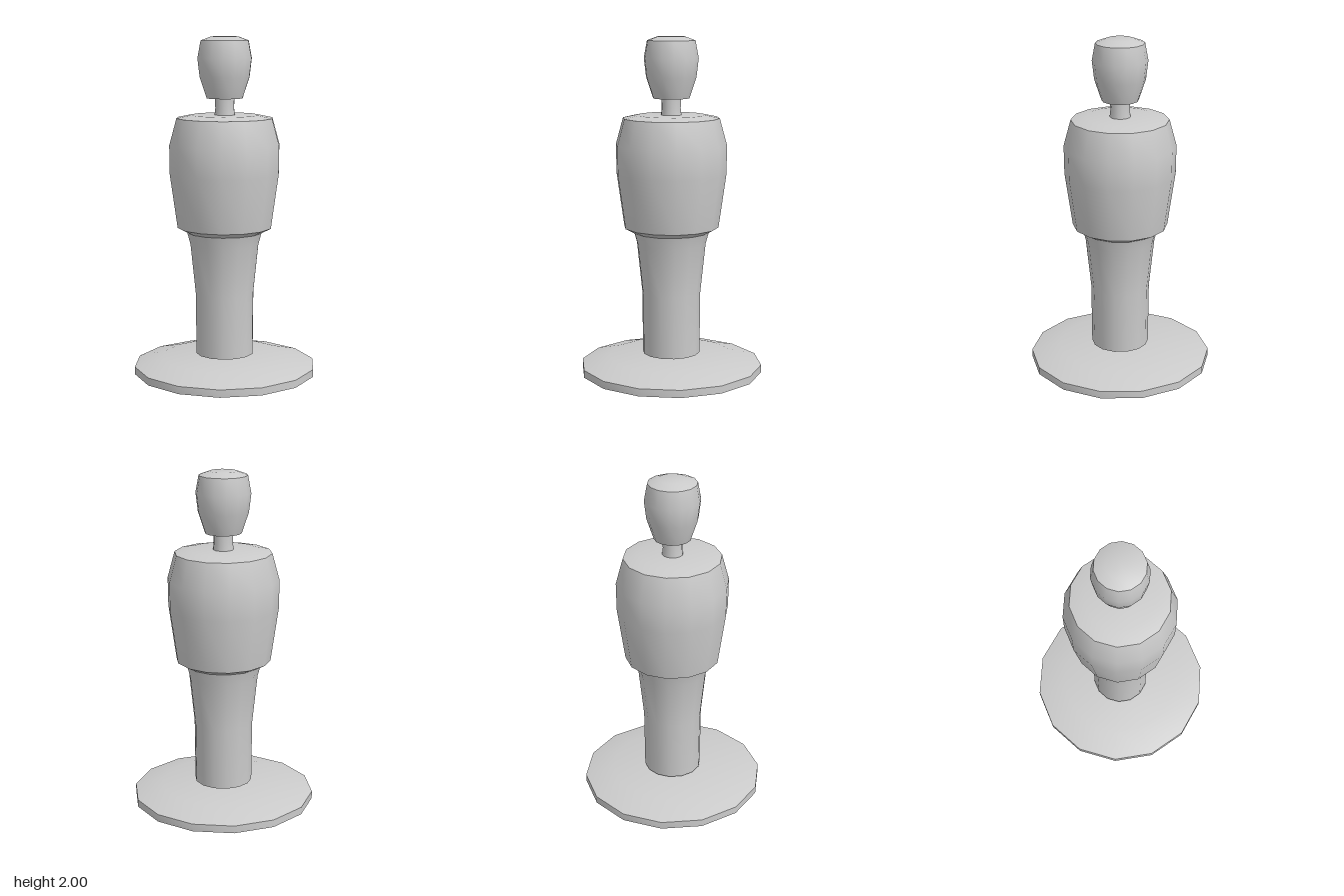
import * as THREE from 'three';
import { toCreasedNormals } from 'three/addons/utils/BufferGeometryUtils.js';

const SIDES = 14;
const material = new THREE.MeshStandardMaterial({ color: 0xcccccc });

// Turned part from [radius, height] pairs, listed from bottom to top
function turned(name, profile) {
  const points = profile.map(([r, y]) => new THREE.Vector2(r, y));
  const geometry = new THREE.LatheGeometry(points, SIDES);
  const mesh = new THREE.Mesh(toCreasedNormals(geometry, THREE.MathUtils.degToRad(36)), material);
  mesh.name = name;
  return mesh;
}

export function createModel() {
  const group = new THREE.Group();
  group.name = 'figurine';

  // Bevelled disc stand
  group.add(turned('base', [
    [0, 0], [0.545, 0], [0.545, 0.045], [0.375, 0.09], [0, 0.09],
  ]));

  // Legs, hovering just above the stand and flaring at the hips
  group.add(turned('legs', [
    [0, 0.112], [0.172, 0.112], [0.175, 0.48], [0.206, 0.78],
    [0.225, 0.85], [0.282, 0.88],
  ]));

  // Torso with sloped shoulders
  group.add(turned('torso', [
    [0.282, 0.88], [0.327, 1.2], [0.329, 1.37], [0.286, 1.527],
    [0.2, 1.545], [0, 1.545],
  ]));

  // Neck
  group.add(turned('neck', [
    [0.061, 1.54], [0.056, 1.585], [0.058, 1.645],
  ]));

  // Head, widest above the middle with a flattened crown
  group.add(turned('head', [
    [0, 1.642], [0.107, 1.642], [0.148, 1.765], [0.161, 1.875],
    [0.142, 1.977], [0.08, 2], [0, 2],
  ]));

  return group;
}
